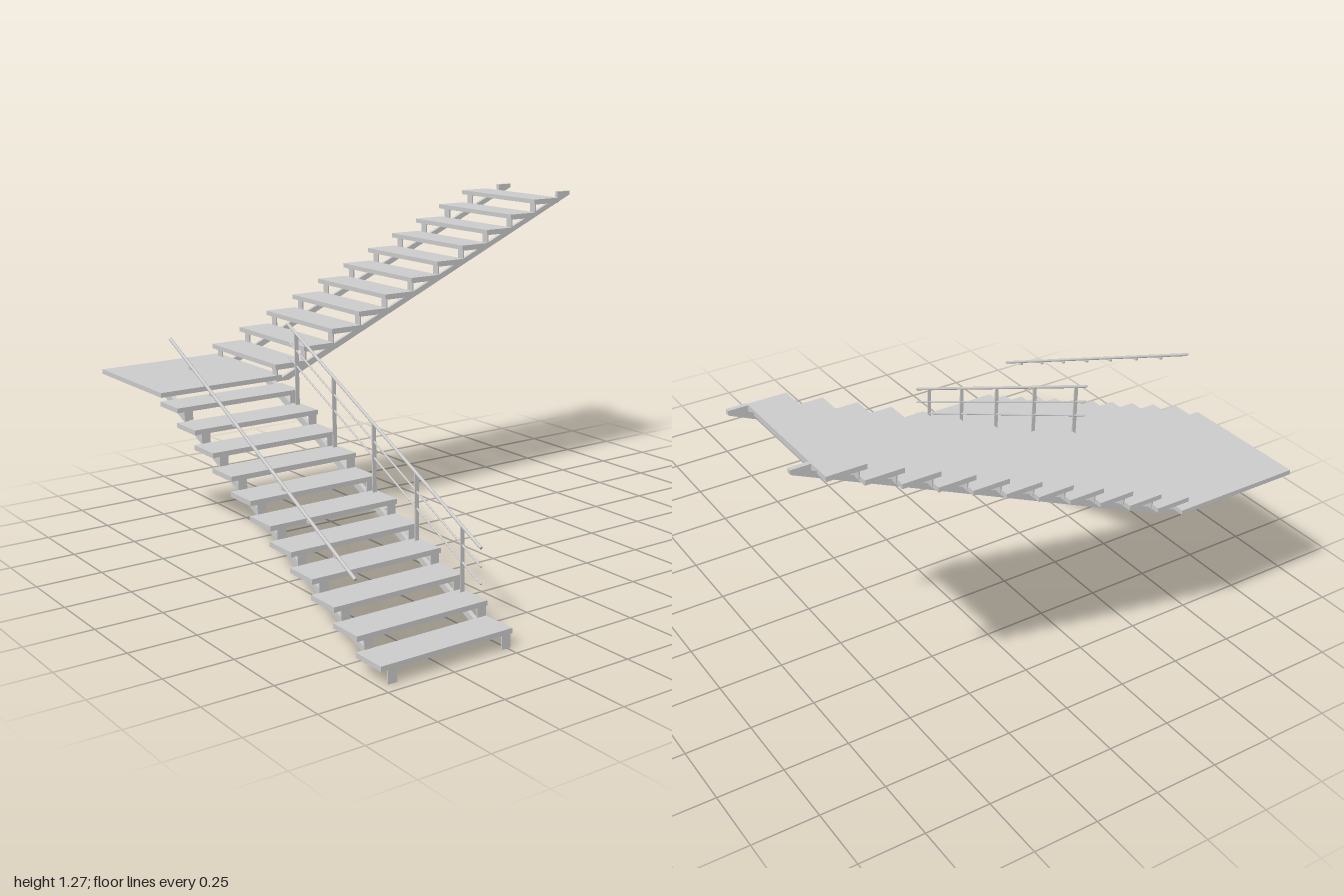
import * as THREE from 'three';

const mat = new THREE.MeshStandardMaterial({ color: 0xcccccc });
const RUN = 0.129, RISE = 0.055, STEPS = 11, THICK = 0.018;

function add(parent, name, geo, x = 0, y = 0, z = 0) {
  const m = new THREE.Mesh(geo, mat);
  m.name = name;
  m.position.set(x, y, z);
  parent.add(m);
  return m;
}
const box = (parent, name, w, h, d, x, y, z) => add(parent, name, new THREE.BoxGeometry(w, h, d), x, y, z);

// Round bar between two points
function bar(parent, name, a, b, r) {
  const p = new THREE.Vector3(...a), q = new THREE.Vector3(...b);
  const m = add(parent, name, new THREE.CylinderGeometry(r, r, p.distanceTo(q), 12));
  m.position.copy(p).add(q).multiplyScalar(0.5);
  m.quaternion.setFromUnitVectors(new THREE.Vector3(0, 1, 0), q.sub(p).normalize());
}

// A straight flight that climbs along local +x; z values run across it
function flight(name, o) {
  const g = new THREE.Group();
  g.name = name;
  for (let i = 0; i < STEPS; i++) {
    const x = o.start + RUN * i, y = o.y + o.rise * i;
    box(g, 'tread', o.depth, THICK, o.width, x + o.depth / 2, y, o.mid);
    // Bent plates: a riser under the nosing and a flange under the tread
    for (const z of o.brackets) {
      box(g, 'bracketRiser', 0.006, o.rise, 0.034, x + 0.01, y - THICK / 2 - o.rise / 2 + 0.004, z);
      box(g, 'bracketFlange', RUN, 0.005, 0.034, x + 0.007 + RUN / 2, y - THICK / 2 - 0.002, z);
    }
  }
  // Sloping stringers
  const shape = new THREE.Shape(o.profile.map(p => new THREE.Vector2(...p)));
  for (const z of o.stringers) {
    const geo = new THREE.ExtrudeGeometry(shape, { depth: 0.016, bevelEnabled: false });
    add(g, 'stringer', geo, 0, 0, z - 0.008);
  }
  return g;
}

export function createModel() {
  const model = new THREE.Group();
  model.name = 'staircase';

  // Lower flight, turned to climb towards -z
  const lower = flight('lowerFlight', {
    start: -0.96, y: 0.055, rise: RISE, depth: 0.137, width: 0.513, mid: -0.7425,
    brackets: [-0.951, -0.505], stringers: [-0.942, -0.515],
    profile: [[-0.855, 0.032], [-0.8, 0.032], [0.54, 0.618], [0.54, 0.63], [0.49, 0.63]],
  });
  lower.rotation.y = Math.PI / 2;
  model.add(lower);

  // Upper flight, climbing towards +x
  model.add(flight('upperFlight', {
    start: -0.515, y: 0.682, rise: 0.0553, depth: 0.139, width: 0.51, mid: -0.71,
    brackets: [-0.477, -0.916], stringers: [-0.494, -0.903],
    profile: [[-0.5, 0.616], [-0.44, 0.616], [1, 1.25], [1, 1.266], [0.932, 1.266], [0.932, 1.243]],
  }));

  box(model, 'landing', 0.513, THICK, 0.51, -0.7425, 0.638, -0.714);

  // Railings follow the slope of the lower flight
  const Z0 = 0.82, Z1 = -0.375;
  const railY = z => 0.3 + (Z0 - z) * (0.563 / (Z0 - Z1));
  const rail = (parent, name, x, drop, r) =>
    bar(parent, name, [x, railY(Z0) - drop, Z0], [x, railY(Z1) - drop, Z1], r);

  const railing = new THREE.Group();
  railing.name = 'railing';
  model.add(railing);
  const RX = -0.505;
  rail(railing, 'handrail', RX, 0, 0.006);
  rail(railing, 'middleRail', RX, 0.065, 0.0035);
  rail(railing, 'bottomRail', RX, 0.125, 0.0035);
  for (let i = 0; i < 5; i++) {
    const z = 0.718 - i * 2 * RUN;
    const foot = RISE * (2 + 2 * i), top = railY(z);
    box(railing, 'post', 0.016, top - foot, 0.005, RX, (top + foot) / 2, z);
  }

  // Wall handrail with small fixing pegs
  const wall = new THREE.Group();
  wall.name = 'wallHandrail';
  model.add(wall);
  rail(wall, 'handrail', -0.994, 0, 0.006);
  for (const z of [0.71, 0.555, 0.4, 0.24, 0.085, -0.075, -0.22])
    box(wall, 'fixingPeg', 0.01, 0.01, 0.018, -0.994, railY(z) - 0.008, z);

  return model;
}
